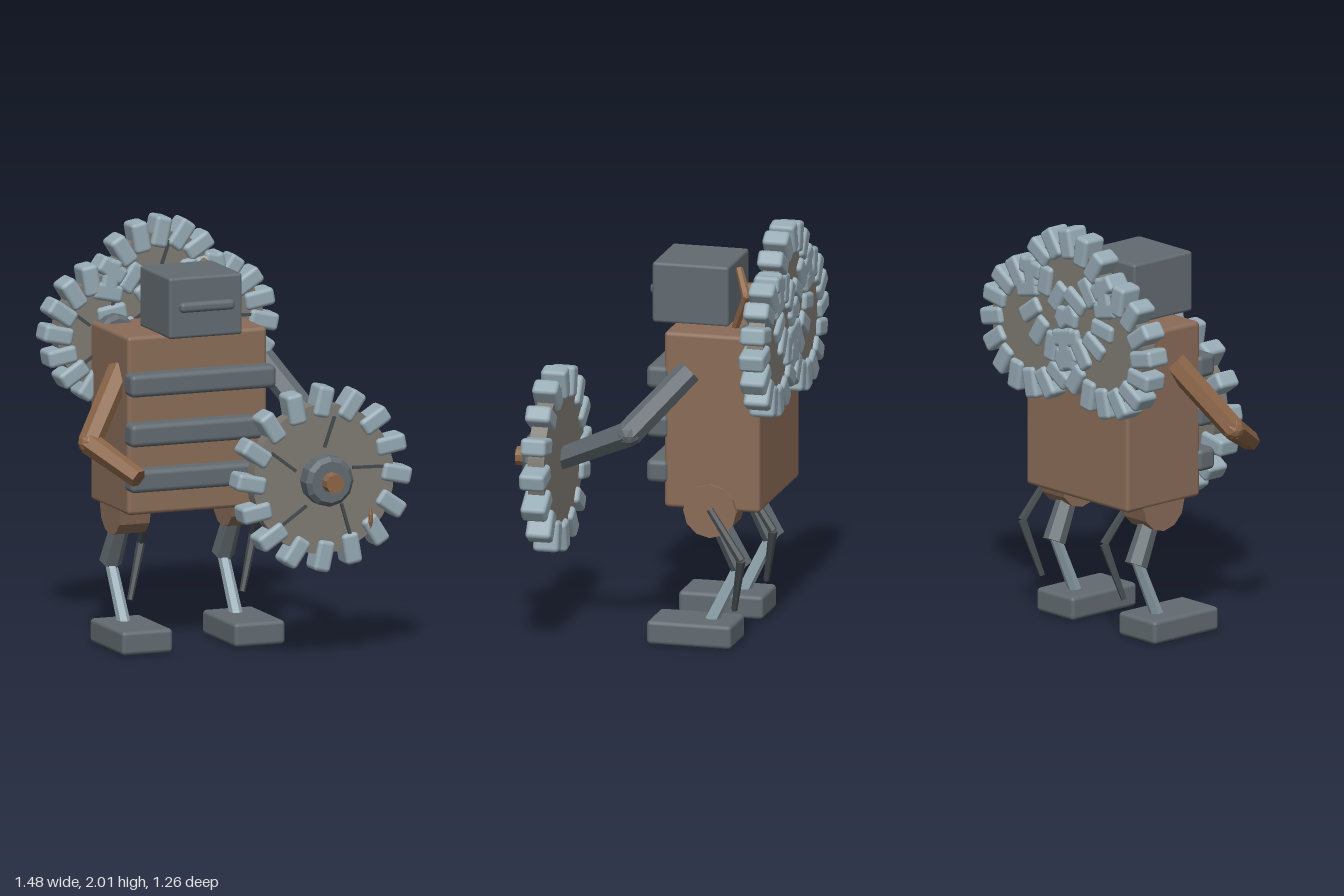
import * as THREE from 'three';
import { RoundedBoxGeometry } from 'three/addons/geometries/RoundedBoxGeometry.js';

const V = (x, y, z) => new THREE.Vector3(x, y, z);

export function createModel() {
  const root = new THREE.Group();
  const mat = (name, color) => {
    const m = new THREE.MeshStandardMaterial({ color });
    m.name = name;
    return m;
  };
  const bronze = mat('bronze', 0x8a6c58);
  const copper = mat('copper', 0x8c6648);
  const slate = mat('slate', 0x626b71);
  const darkSteel = mat('dark steel', 0x454b4f);
  const paleSteel = mat('pale steel', 0x97abb5);
  const plate = mat('plate grey', 0x7f7b73);

  const add = (parent, name, geo, m, x = 0, y = 0, z = 0) => {
    const mesh = new THREE.Mesh(geo, m);
    mesh.name = name;
    mesh.position.set(x, y, z);
    parent.add(mesh);
    return mesh;
  };
  // Rounded box from its min and max corners
  const box = (parent, name, m, a, b, r = 0.015) =>
    add(parent, name, new RoundedBoxGeometry(b[0] - a[0], b[1] - a[1], b[2] - a[2], 2, r), m,
      (a[0] + b[0]) / 2, (a[1] + b[1]) / 2, (a[2] + b[2]) / 2);
  const facet = (geo) => {
    const g = geo.toNonIndexed();
    g.computeVertexNormals();
    return g;
  };
  // Tapered faceted rod between two points
  const rod = (parent, name, m, a, b, ra, rb, sides = 6) => {
    const dir = b.clone().sub(a);
    const mesh = add(parent, name, facet(new THREE.CylinderGeometry(rb, ra, dir.length(), sides)), m);
    mesh.position.copy(a).add(b).multiplyScalar(0.5);
    mesh.quaternion.setFromUnitVectors(V(0, 1, 0), dir.normalize());
    return mesh;
  };
  // Two rods meeting at a joint
  const limb = (name, m, pts, radii, sides = 6) => {
    const g = new THREE.Group();
    g.name = name;
    rod(g, name + 'Upper', m, pts[0], pts[1], radii[0], radii[1], sides);
    rod(g, name + 'Lower', m, pts[1], pts[2], radii[1], radii[2], sides);
    add(g, name + 'Joint', facet(new THREE.IcosahedronGeometry(radii[1] * 0.97, 1)), m, pts[1].x, pts[1].y, pts[1].z);
    root.add(g);
  };

  // Torso, chest bars, head and visor
  box(root, 'torso', bronze, [-0.485, 0.66, -0.54], [0.23, 1.52, -0.07], 0.02);
  for (const y of [0.835, 1.055, 1.295])
    box(root, 'chestBar', slate, [-0.5, y - 0.055, -0.09], [0.245, y + 0.055, 0.015], 0.025);
  box(root, 'head', slate, [-0.315, 1.515, -0.34], [0.06, 1.81, 0.035], 0.015);
  box(root, 'visor', slate, [-0.265, 1.64, 0.0], [0.015, 1.69, 0.06], 0.02);

  // Legs
  for (const x of [0, 0.575]) {
    const leg = new THREE.Group();
    leg.name = x ? 'leftLeg' : 'rightLeg';
    leg.position.x = x;
    root.add(leg);
    rod(leg, 'hip', bronze, V(-0.48, 0.66, -0.3), V(-0.325, 0.66, -0.3), 0.13, 0.13, 12);
    rod(leg, 'thigh', slate, V(-0.41, 0.64, -0.3), V(-0.425, 0.375, -0.43), 0.045, 0.055);
    rod(leg, 'shin', paleSteel, V(-0.43, 0.4, -0.43), V(-0.415, 0.09, -0.28), 0.028, 0.032);
    box(leg, 'foot', slate, [-0.54, 0, -0.415], [-0.28, 0.115, 0], 0.02);
    // Thin strut behind each leg
    const knee = V(-0.25, 0.45, -0.475);
    rod(leg, 'strutUpper', darkSteel, V(-0.29, 0.68, -0.31), knee, 0.017, 0.022);
    rod(leg, 'strutLower', darkSteel, knee, V(-0.33, 0.185, -0.42), 0.022, 0.014);
  }

  // Arms and the bent rod behind the head
  limb('rightArm', copper, [V(-0.46, 1.34, -0.22), V(-0.69, 1.03, -0.05), V(-0.54, 0.89, 0.2)], [0.06, 0.056, 0.047]);
  limb('leftArm', slate, [V(0.26, 1.345, -0.205), V(0.42, 1.06, 0.05), V(0.29, 0.88, 0.42)], [0.06, 0.064, 0.055]);
  limb('bentRod', copper, [V(0.03, 1.8, -0.385), V(0.12, 1.69, -0.445), V(0.06, 1.52, -0.375)], [0.018, 0.023, 0.02]);

  // Toothed wheel facing +z: plate, teeth, spokes, hub and pin
  const wheel = (name, x, y, z, R, toothR) => {
    const g = new THREE.Group();
    g.name = name;
    g.position.set(x, y, z);
    root.add(g);
    const k = R / 0.36;
    const disc = add(g, 'wheelPlate', new THREE.CylinderGeometry(R, R, 0.08, 32), plate);
    disc.rotation.x = Math.PI / 2;
    const skew = -0.22;
    const tooth = new RoundedBoxGeometry(0.15, 0.085, 0.125, 2, 0.02);
    for (let i = 0; i < 16; i++) {
      const a = (i * Math.PI) / 8;
      add(g, 'tooth', tooth, paleSteel, toothR * Math.cos(a), toothR * Math.sin(a), 0).rotation.z = a + skew;
    }
    const spoke = new THREE.BoxGeometry(0.155 * k, 0.014, 0.02);
    for (let i = 0; i < 5; i++) {
      const a = 1.45 + (i * Math.PI * 2) / 5;
      add(g, 'spoke', spoke, darkSteel, 0.227 * k * Math.cos(a), 0.227 * k * Math.sin(a), 0.042).rotation.z = a + skew;
    }
    const profile = [[0, 0.03], [0.122, 0.03], [0.122, 0.115], [0.1, 0.137], [0, 0.137]]
      .map(([r, h]) => new THREE.Vector2(r * k, h));
    add(g, 'hub', facet(new THREE.LatheGeometry(profile, 12)), slate).rotation.x = Math.PI / 2;
    rod(g, 'pin', copper, V(0, 0, 0.13), V(0, 0, 0.188), 0.05 * k, 0.046 * k, 10);
  };
  wheel('handWheel', 0.29, 0.88, 0.445, 0.36, 0.372);
  wheel('rightBackWheel', -0.385, 1.465, -0.56, 0.275, 0.272);
  wheel('topBackWheel', -0.13, 1.655, -0.56, 0.275, 0.272);
  wheel('leftBackWheel', 0.122, 1.465, -0.56, 0.275, 0.272);

  // Small hanging spindle in front of the hand wheel
  const spindle = [[0, -0.058], [0.011, -0.025], [0.011, 0.01], [0, 0.058]].map(([r, h]) => new THREE.Vector2(r, h));
  add(root, 'spindle', facet(new THREE.LatheGeometry(spindle, 6)), copper, 0.51, 0.69, 0.535);

  return root;
}
